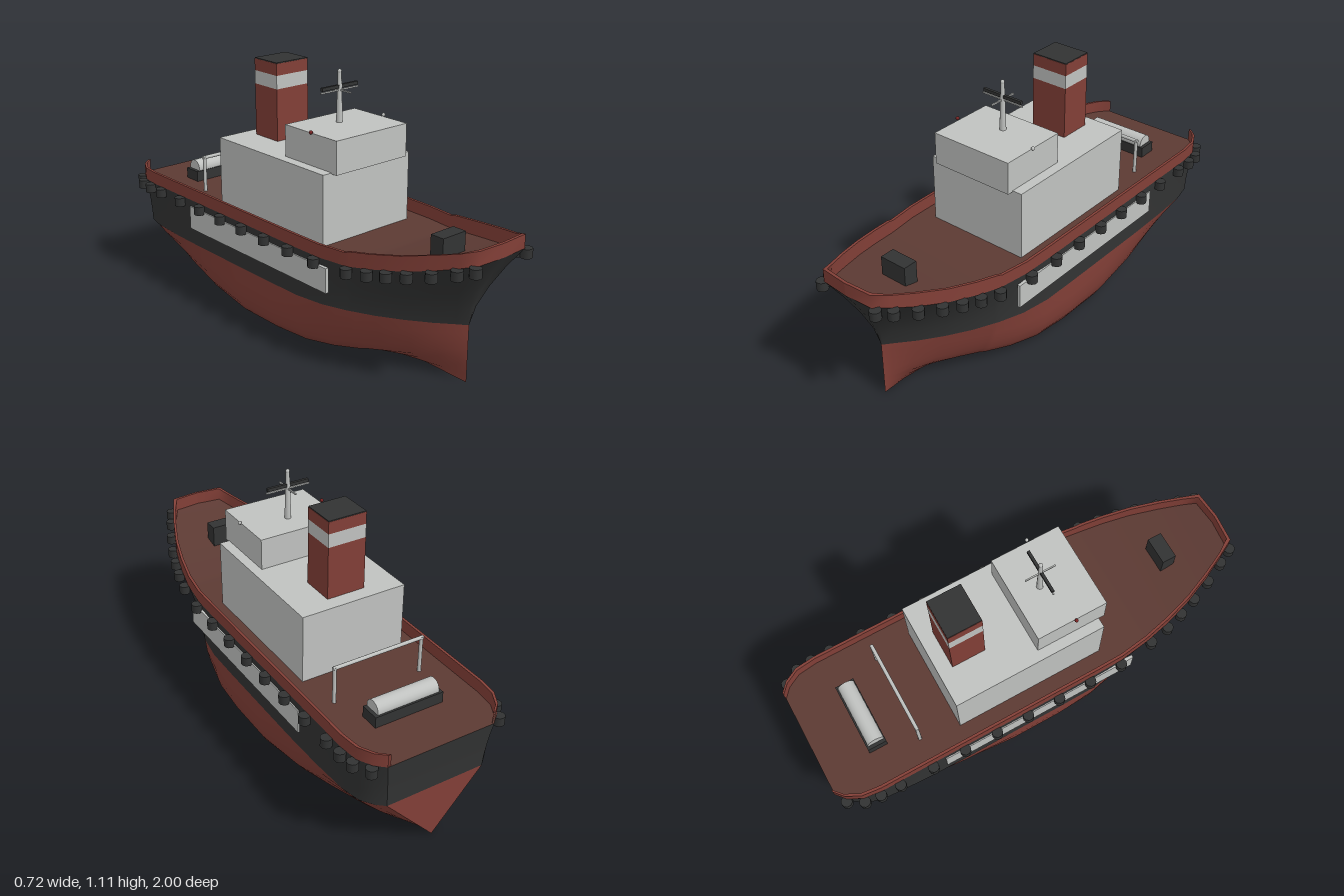
import * as THREE from 'three';

const mat = (name, color, side = THREE.FrontSide) => {
  const m = new THREE.MeshStandardMaterial({ color, side });
  m.name = name;
  return m;
};

// Hull stations from stern to bow:
// waterline z, waterline half width, deck z, deck half width, sheer height, bottom fullness
const STATIONS = [
  [-0.98, 0.22, -1, 0.24, 0.507, 0],
  [-0.95, 0.255, -0.965, 0.28, 0.507, 0.05],
  [-0.9, 0.29, -0.905, 0.312, 0.507, 0.12],
  [-0.82, 0.308, -0.82, 0.322, 0.507, 0.25],
  [-0.65, 0.318, -0.65, 0.322, 0.507, 0.52],
  [-0.45, 0.322, -0.45, 0.322, 0.507, 0.8],
  [-0.2, 0.322, -0.2, 0.322, 0.507, 1],
  [0.03, 0.322, 0.03, 0.322, 0.507, 1],
  [0.2, 0.32, 0.2, 0.322, 0.507, 0.93],
  [0.33, 0.3, 0.33, 0.32, 0.507, 0.8],
  [0.44, 0.262, 0.46, 0.303, 0.509, 0.65],
  [0.46, 0.252, 0.485, 0.299, 0.511, 0.6],
  [0.54, 0.215, 0.58, 0.28, 0.526, 0.48],
  [0.64, 0.155, 0.7, 0.247, 0.548, 0.34],
  [0.73, 0.09, 0.82, 0.2, 0.576, 0.2],
  [0.8, 0.03, 0.91, 0.158, 0.602, 0.08],
  [0.832, 0.004, 0.975, 0.125, 0.624, 0],
  [0.835, 0, 0.985, 0, 0.626, 0],
];
const WATERLINE = 0.245, BULWARK = 0.055, RIM = 0.012;
// Midship bottom, as fraction of half width and height
const MIDSHIP = [[0, 0], [0.31, 0], [0.6, 0.012], [0.87, 0.025], [0.94, 0.06], [0.98, 0.11], [1, 0.17], [1, WATERLINE]];
const lerp = THREE.MathUtils.lerp;

// Surface through rows of points
function grid(rows) {
  const n = rows[0].length, index = [];
  for (let i = 0; i < rows.length - 1; i++)
    for (let j = 0; j < n - 1; j++) {
      const a = i * n + j, b = a + 1, c = a + n, d = c + 1;
      index.push(a, b, c, b, d, c);
    }
  const g = new THREE.BufferGeometry();
  g.setAttribute('position', new THREE.Float32BufferAttribute(rows.flat(2), 3));
  g.setIndex(index);
  g.computeVertexNormals();
  return g;
}

const bottomRow = ([zw, hw, , , , f]) => MIDSHIP.map(([mx, my], j) => {
  const t = j / (MIDSHIP.length - 1);
  return [hw * lerp(t, mx, f), lerp(t * WATERLINE, my, f), zw];
});
const topsideRow = ([zw, hw, zt, ht, s]) => [0, 0.25, 0.5, 0.75, 1].map(t => {
  const k = t ** 1.5;
  return [lerp(hw, ht, k), lerp(WATERLINE, s - BULWARK, t), lerp(zw, zt, k)];
});
// Four corners of the bulwark: outer foot, outer top, inner top, inner foot
const bulwarkRow = ([, , z, ht, s]) => {
  const top = s + (z > 0.47 ? 0.006 : 0) - (z > 0.9 ? 0.004 : 0), foot = s - BULWARK;
  const xi = Math.max(0, ht - RIM), zi = z > 0.95 ? z - RIM : z;
  return [[ht, foot, z], [ht, top, z], [xi, top, zi], [xi, foot, zi]];
};

// Deck edge half width and sheer at a given z
function edgeAt(z) {
  const i = Math.max(1, STATIONS.findIndex(s => s[2] >= z));
  const a = STATIONS[i - 1], b = STATIONS[i], t = (z - a[2]) / (b[2] - a[2]);
  return [lerp(a[3], b[3], t), lerp(a[4], b[4], t)];
}

export function createModel() {
  const group = new THREE.Group();
  group.name = 'tugboat';
  const red = mat('hull red', 0x823f37, THREE.DoubleSide);
  const black = mat('hull black', 0x323333, THREE.DoubleSide);
  const deckBrown = mat('deck brown', 0x5c3a33, THREE.DoubleSide);
  const grey = mat('light grey', 0xc0c2c0);
  const navRed = mat('lamp red', 0x7a2424);

  const add = (name, geometry, material, x = 0, y = 0, z = 0) => {
    const m = new THREE.Mesh(geometry, material);
    m.name = name;
    m.position.set(x, y, z);
    group.add(m);
    return m;
  };
  // Box given by its extents
  const box = (name, material, x0, x1, y0, y1, z0, z1) =>
    add(name, new THREE.BoxGeometry(x1 - x0, y1 - y0, z1 - z0), material, (x0 + x1) / 2, (y0 + y1) / 2, (z0 + z1) / 2);
  // Mirrored pair of surfaces
  const pair = (name, rows, material) => {
    add(name + 'Left', grid(rows), material);
    add(name + 'Right', grid(rows.map(r => r.map(([x, y, z]) => [-x, y, z]).reverse())), material);
  };
  const across = points => grid(points.map(([x, y, z]) => [[x, y, z], [-x, y, z]]));

  // Hull shell
  pair('hullBottom', STATIONS.map(bottomRow), red);
  pair('hullTopside', STATIONS.map(topsideRow), black);
  add('transomBottom', across(bottomRow(STATIONS[0])), red);
  add('transom', across(topsideRow(STATIONS[0])), black);
  add('deck', across(STATIONS.map(([, , z, x, s]) => [x, s - BULWARK, z])), deckBrown);

  // Bulwark, open at the stern
  const rail = STATIONS.map(bulwarkRow);
  ['bulwarkOuter', 'bulwarkCap', 'bulwarkInner'].forEach((name, k) =>
    pair(name, rail.map(r => r.slice(k, k + 2)), red));

  // Fenders and side panels
  const fender = new THREE.CylinderGeometry(0.024, 0.024, 0.038, 10);
  const fenderZ = [-0.97, -0.905, -0.835, -0.745, -0.592, -0.442, -0.29, -0.14, 0.012, 0.165, 0.32,
    0.485, 0.577, 0.657, 0.737, 0.827, 0.912, 0.972];
  for (const side of [-1, 1]) {
    for (const z of fenderZ) {
      const [x, sheer] = edgeAt(z);
      add('fender', fender, black, side * (x + 0.014), sheer - 0.075, z);
    }
    add('sidePanel', new THREE.BoxGeometry(0.014, 0.105, 0.915), grey, side * 0.32, 0.37, -0.072);
  }

  // Superstructure
  box('deckhouse', grey, -0.235, 0.235, 0.44, 0.75, -0.412, 0.266);
  box('wheelhouse', grey, -0.191, 0.191, 0.745, 0.885, -0.018, 0.293);

  // Funnel with band and dark top
  box('funnelLower', red, -0.085, 0.085, 0.75, 0.977, -0.349, -0.201);
  box('funnelBand', grey, -0.085, 0.085, 0.977, 1.035, -0.349, -0.201);
  box('funnelUpper', red, -0.085, 0.085, 1.035, 1.086, -0.349, -0.201);
  box('funnelTop', black, -0.084, 0.084, 1.086, 1.09, -0.348, -0.202);

  // Mast with yards, radar bar and lamps
  const mz = 0.097;
  add('mast', new THREE.CylinderGeometry(0.008, 0.014, 0.21, 12), grey, 0, 0.988, mz);
  add('mastLamp', new THREE.SphereGeometry(0.009, 12, 8), grey, 0, 1.096, mz);
  box('radarBar', black, -0.096, 0.096, 1.027, 1.041, mz - 0.006, mz + 0.006);
  box('yard', grey, -0.102, 0.102, 1.016, 1.022, mz - 0.003, mz + 0.003);
  box('foreAftYard', grey, -0.003, 0.003, 1.016, 1.022, mz - 0.067, mz + 0.067);
  const lamp = new THREE.SphereGeometry(0.008, 10, 8);
  add('rightLamp', lamp, navRed, -0.198, 0.89, 0.15);
  add('leftLamp', lamp, grey, 0.198, 0.89, 0.15);

  // Towing frame
  const post = new THREE.CylinderGeometry(0.008, 0.008, 0.165, 10);
  for (const x of [-0.2, 0.2]) add('towFramePost', post, grey, x, 0.532, -0.585);
  add('towFrameBeam', new THREE.CylinderGeometry(0.008, 0.008, 0.416, 10), grey, 0, 0.61, -0.585).rotation.z = Math.PI / 2;

  // Towing winch
  box('winchBase', black, -0.155, 0.155, 0.45, 0.5, -0.797, -0.713);
  add('winchDrum', new THREE.CylinderGeometry(0.037, 0.037, 0.28, 20), grey, 0, 0.508, -0.753).rotation.z = Math.PI / 2;

  // Anchor winch on the foredeck
  box('anchorWinch', black, -0.062, 0.062, 0.48, 0.585, 0.68, 0.744);

  return group;
}
